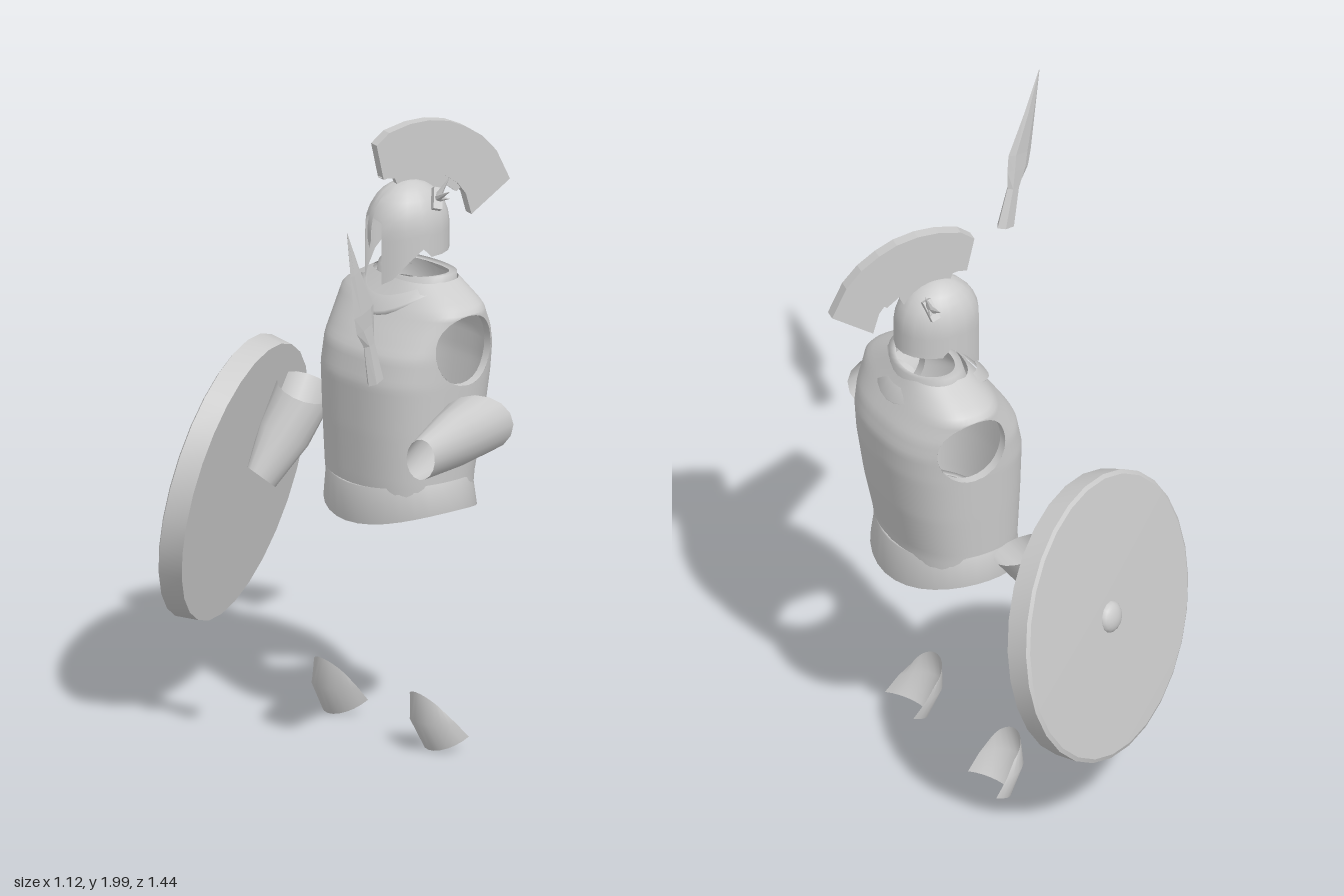
import * as THREE from 'three';
import { toCreasedNormals } from 'three/addons/utils/BufferGeometryUtils.js';

const V = (x, y, z) => new THREE.Vector3(x, y, z);
const smooth = new THREE.MeshStandardMaterial({ color: 0xcccccc, side: THREE.DoubleSide });
const faceted = new THREE.MeshStandardMaterial({ color: 0xcccccc, side: THREE.DoubleSide, flatShading: true });
const lerp = THREE.MathUtils.lerp;

function add(parent, name, geometry, material = smooth) {
  const mesh = new THREE.Mesh(geometry, material);
  mesh.name = name;
  parent.add(mesh);
  return mesh;
}

// Skin between rows of points; keep(i, j, k) can reject triangles
function loft(rows, closed = true, keep = () => true) {
  const n = rows[0].length, index = [];
  const tri = (a, b, c) => { if (keep(a, b, c)) index.push(a, b, c); };
  for (let r = 0; r < rows.length - 1; r++) {
    for (let i = 0; i < (closed ? n : n - 1); i++) {
      const a = r * n + i, b = r * n + (i + 1) % n;
      tri(a, a + n, b);
      tri(b, a + n, b + n);
    }
  }
  const g = new THREE.BufferGeometry().setFromPoints(rows.flat());
  g.setIndex(index);
  g.computeVertexNormals();
  return g;
}

// Ellipse around c spanned by the vectors u and v
const ring = (c, u, v, n = 16) => Array.from({ length: n }, (_, i) => {
  const t = i / n * Math.PI * 2;
  return c.clone().addScaledVector(u, Math.cos(t)).addScaledVector(v, Math.sin(t));
});

// Linear lookup in a table of [key, ...values]
function sample(table, key) {
  let i = 0;
  while (i < table.length - 2 && key > table[i + 1][0]) i++;
  const [p, q] = [table[i], table[i + 1]];
  const t = THREE.MathUtils.clamp((key - p[0]) / (q[0] - p[0]), 0, 1);
  return p.slice(1).map((v, k) => lerp(v, q[k + 1], t));
}

// Torso sections: height, centre x, half depth, half width
const CZ = 0.085, POW = 2.5;
const torso = [[0.8, 0.165, 0.19, 0.24], [0.89, 0.165, 0.197, 0.247], [1.05, 0.178, 0.218, 0.258],
  [1.21, 0.188, 0.232, 0.268], [1.3, 0.2, 0.224, 0.272], [1.36, 0.212, 0.196, 0.275],
  [1.44, 0.22, 0.145, 0.277], [1.475, 0.225, 0.122, 0.22], [1.51, 0.23, 0.1, 0.155]];
const hole = { x: 0.22, y: 1.315, rx: 0.118, ry: 0.115 };
const sgnPow = (v) => Math.sign(v) * Math.abs(v) ** (2 / POW);
function sideZ(x, y) {
  const [cx, a, b] = sample(torso, y);
  return b * Math.max(0, 1 - Math.abs((x - cx) / a) ** POW) ** (1 / POW);
}

function buildTorso(group) {
  const rows = [], cut = [], steps = 46, cols = 64;
  for (let r = 0; r <= steps; r++) {
    const y = lerp(0.8, 1.51, r / steps), [cx, a, b] = sample(torso, y), row = [];
    for (let i = 0; i < cols; i++) {
      const t = i / cols * Math.PI * 2;
      const p = V(cx + a * sgnPow(Math.cos(t)), y, CZ + b * sgnPow(Math.sin(t)));
      // points inside the armhole move out to its rim
      const ex = (p.x - hole.x) / hole.rx, ey = (y - hole.y) / hole.ry, d = Math.hypot(ex, ey);
      const inside = d < 1;
      if (inside) {
        const k = 1 / Math.max(d, 1e-4);
        p.x = hole.x + ex * k * hole.rx;
        p.y = hole.y + ey * k * hole.ry;
        p.z = CZ + Math.sign(p.z - CZ) * sideZ(p.x, p.y);
      }
      cut.push(inside);
      row.push(p);
    }
    rows.push(row);
  }
  add(group, 'breastplate', loft(rows, true, (a, b, c) => !(cut[a] && cut[b] && cut[c])));

  // Inward lip of each armhole
  for (const s of [1, -1]) {
    const rim = (inset) => ring(V(hole.x, hole.y, 0), V(hole.rx, 0, 0), V(0, hole.ry, 0), 28)
      .map((p) => p.setZ(CZ + s * (sideZ(p.x, p.y) - inset)));
    add(group, s > 0 ? 'rightArmholeLip' : 'leftArmholeLip', loft([rim(0), rim(0.03)]));
  }

  // Saddle-shaped bands: centre x, half depth, half width, height, dip at front and back
  const band = (cx, a, b, y, dip) => ring(V(cx, y, CZ), V(a, 0, 0), V(0, 0, b), 32)
    .map((p) => p.setY(y - dip * ((p.x - cx) / a) ** 2));
  add(group, 'belt', loft([band(0.165, 0.197, 0.24, 0.89, 0.022), band(0.163, 0.208, 0.256, 0.895, 0.025),
    band(0.167, 0.219, 0.268, 0.8, 0.052), band(0.167, 0.2, 0.25, 0.8, 0.052)]));
  add(group, 'collar', loft([band(0.21, 0.165, 0.165, 1.475, 0.07), band(0.21, 0.175, 0.175, 1.495, 0.075),
    band(0.215, 0.14, 0.145, 1.51, 0.045)]));
  add(group, 'neckRing', loft([band(0.228, 0.115, 0.15, 1.46, 0.02), band(0.238, 0.1, 0.15, 1.53, 0.012),
    band(0.238, 0.08, 0.12, 1.525, 0.012)]));
}

function buildHelmet(group) {
  const helmet = new THREE.Group();
  helmet.name = 'helmet';
  helmet.position.set(0.2, 0, 0.08);
  helmet.rotation.y = -0.17;
  group.add(helmet);

  // Lower edge by angle from the face: nose guard, eye gap, cheek guard, nape
  const edge = [[0, 1.61], [6, 1.64], [7, 1.71], [26, 1.7], [27, 1.5], [45, 1.52], [65, 1.57], [88, 1.615],
    [100, 1.585], [120, 1.585], [140, 1.585], [160, 1.585], [180, 1.585]];
  const columns = [...edge.map(([d, y]) => [-d, y]).reverse().slice(0, -1), ...edge.slice(0, -1)];
  const rows = Array.from({ length: 13 }, (_, r) => columns.map(([deg, low]) => {
    const t = r / 12, f = deg * Math.PI / 180;
    const lift = t < 0.6 ? Math.cos(t / 0.6 * Math.PI / 2) : 0;
    const y = t < 0.6 ? Math.max(low, 1.67 + 0.145 * lift) : lerp(Math.max(low, 1.67), low, (t - 0.6) / 0.4);
    const s = y > 1.67 ? Math.sqrt(Math.max(0, 1 - ((y - 1.67) / 0.145) ** 2)) : 1;
    return V(-0.137 * s * Math.cos(f), y, 0.113 * s * Math.sin(f));
  }));
  add(helmet, 'helmetShell', toCreasedNormals(loft(rows), 0.8));

  // Crest blade and its holder
  const plate = (name, pts, depth) => {
    const shape = new THREE.Shape(pts.map(([x, y]) => new THREE.Vector2(x - 0.2, y)));
    const g = new THREE.ExtrudeGeometry(shape, { depth, bevelEnabled: false });
    add(helmet, name, g.translate(0, 0, -depth / 2), faceted);
  };
  plate('crest', [[0.08, 1.945], [0.125, 1.98], [0.2, 1.998], [0.27, 2], [0.34, 1.987], [0.4, 1.96], [0.46, 1.92],
    [0.51, 1.865], [0.558, 1.765], [0.42, 1.67], [0.4, 1.74], [0.37, 1.78], [0.32, 1.815], [0.27, 1.835],
    [0.2, 1.845], [0.105, 1.83]], 0.036);
  plate('crestHolder', [[0.1, 1.835], [0.2, 1.85], [0.28, 1.84], [0.34, 1.81], [0.39, 1.765], [0.37, 1.75],
    [0.33, 1.78], [0.31, 1.74], [0.27, 1.78], [0.2, 1.8], [0.16, 1.8], [0.15, 1.825]], 0.02);

  // Brow spikes on both sides
  for (const s of [1, -1]) {
    const badge = add(helmet, 'spikeMount', new THREE.BoxGeometry(0.03, 0.07, 0.02), faceted);
    badge.position.set(0.055, 1.765, s * 0.09);
    badge.rotation.set(-s * 0.5, 0, -0.3);
    for (const [dx, dy, dz] of [[0.03, 0.075, 0.03], [0.0, 0.045, 0.085], [0.02, 0.01, 0.05]]) {
      const dir = V(dx, dy, s * dz), len = dir.length();
      const spike = add(helmet, 'spike', new THREE.ConeGeometry(0.013, len, 6).translate(0, len / 2, 0), faceted);
      spike.position.set(0.055, 1.765, s * 0.088);
      spike.quaternion.setFromUnitVectors(V(0, 1, 0), dir.normalize());
    }
  }
}

function buildShield(group) {
  const shield = new THREE.Group();
  shield.name = 'shield';
  shield.position.set(-0.06, 0.755, -0.46);
  shield.quaternion.setFromUnitVectors(V(0, 1, 0), V(-0.45, 0.19, -0.872).normalize());
  group.add(shield);
  const profile = [[0, -0.04], [0.455, -0.04], [0.465, 0.035], [0.452, 0.042], [0, 0.05]];
  add(shield, 'shieldDisc', toCreasedNormals(
    new THREE.LatheGeometry(profile.map(([x, y]) => new THREE.Vector2(x, y)), 28), 0.4));
  const boss = add(shield, 'shieldBoss', new THREE.SphereGeometry(0.052, 14, 6, 0, Math.PI * 2, 0, Math.PI / 2));
  boss.position.y = 0.045;
  boss.scale.y = 0.6;
}

// Curved shin plate open towards the back
function greave(zc, splay) {
  // centre x, centre y, side x, side y, half width
  const levels = [[0.078, 0.205, 0.13, 0.15, 0.07], [0.07, 0.11, 0.17, 0.105, 0.083], [0.122, 0.01, 0.215, 0.055, 0.085]];
  return loft(levels.map(([x, y, sx, sy, w], k) => Array.from({ length: 13 }, (_, i) => {
    const f = (i / 6 - 1) * Math.PI / 2, c = Math.cos(f);
    return V(lerp(sx, x, c), lerp(sy, y, c), zc + splay * k + w * Math.sin(f));
  })), false);
}

export function createModel() {
  const model = new THREE.Group();
  model.name = 'armourSet';
  buildTorso(model);
  buildHelmet(model);
  buildShield(model);

  // Forearm guards
  add(model, 'rightForearmGuard', loft([
    ring(V(-0.223, 1.12, 0.664), V(0.016, 0, 0.05), V(0.005, 0.065, 0)),
    ring(V(-0.03, 1.125, 0.578), V(0.05, 0, 0.066), V(0, 0.088, 0)),
    ring(V(0.136, 1.125, 0.497), V(0.09, 0, 0.075), V(-0.012, 0.1, 0.01))]));
  add(model, 'leftForearmGuard', loft([
    ring(V(-0.025, 0.775, -0.365), V(0.045, -0.035, 0), V(0, -0.01, 0.042)),
    ring(V(0.07, 0.9, -0.368), V(0.075, -0.035, 0), V(0, -0.02, 0.075)),
    ring(V(0.158, 1.03, -0.37), V(0.1, -0.01, -0.015), V(0, -0.03, 0.094))]));

  add(model, 'rightGreave', greave(0.272, 0.004));
  add(model, 'leftGreave', greave(-0.2, -0.009));

  // Spearhead: centre x, y, z, half width, half thickness
  const spear = [[-0.563, 1.94, 0.717, 0.001, 0.001], [-0.523, 1.8, 0.708, 0.024, 0.007],
    [-0.48, 1.665, 0.698, 0.05, 0.01], [-0.47, 1.61, 0.693, 0.046, 0.011], [-0.45, 1.55, 0.687, 0.026, 0.013],
    [-0.416, 1.42, 0.677, 0.036, 0.02]];
  const tip = spear.map(([x, y, z, w, d]) => ring(V(x, y, z), V(w, w * 0.25, -w * 0.3), V(d * 0.3, 0, d), 6));
  tip.push(tip[5].map(() => V(-0.416, 1.42, 0.677)));
  add(model, 'spearhead', loft(tip), faceted);
  return model;
}
